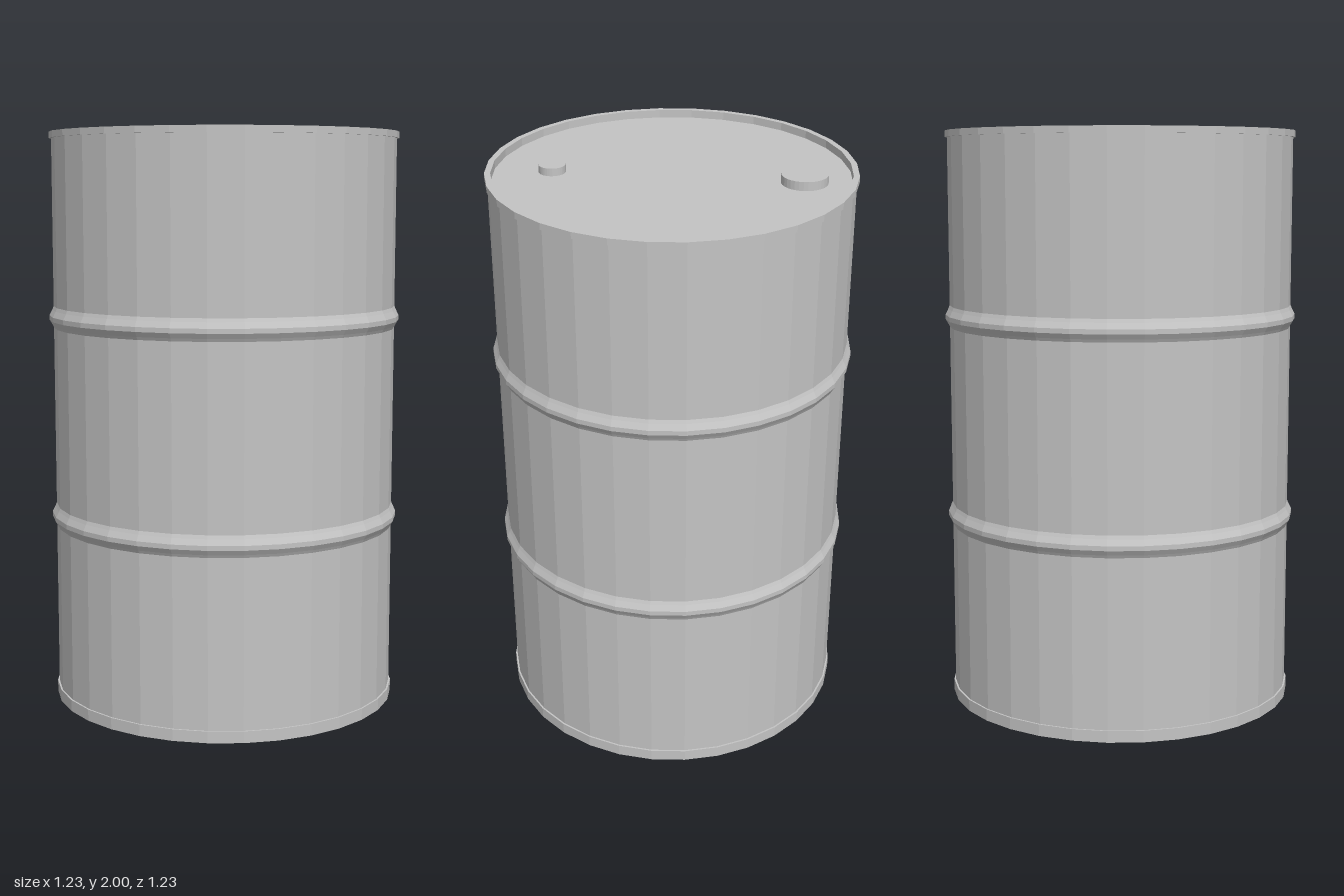
import * as THREE from 'three';

const SIDES = 32;

export function createModel() {
  const model = new THREE.Group();
  const steel = new THREE.MeshStandardMaterial({ color: 0xc4c4c4, flatShading: true });
  steel.name = 'greySteel';

  const add = (name, geometry, x = 0, y = 0, z = 0) => {
    const mesh = new THREE.Mesh(geometry, steel);
    mesh.name = name;
    mesh.position.set(x, y, z);
    model.add(mesh);
  };
  const lathe = (points) =>
    new THREE.LatheGeometry(points.map(([r, y]) => new THREE.Vector2(r, y)), SIDES);

  // Rolled hoop profile around a height
  const hoop = (y) => [
    [0.6, y - 0.035], [0.605, y - 0.025], [0.615, y - 0.008],
    [0.615, y + 0.008], [0.605, y + 0.028], [0.6, y + 0.04],
  ];

  // Side wall with two rolling hoops
  add('drumWall', lathe([[0.6, 0.04], ...hoop(0.657), ...hoop(1.357), [0.6, 1.975]]));

  // Bottom chime with its recessed base
  add('bottomChime', lathe([[0, 0.02], [0.51, 0.02], [0.51, 0], [0.606, 0], [0.606, 0.04], [0.6, 0.04]]));

  // Top rim, standing above the recessed lid
  add('topRim', lathe([[0.6, 1.975], [0.608, 1.975], [0.608, 1.997], [0.588, 1.997], [0.588, 1.97]]));
  add('lid', lathe([[0.588, 1.97], [0, 1.97]]));

  // Filler and vent plugs
  const plug = (name, radius, top, z) =>
    add(name, new THREE.CylinderGeometry(radius, radius, top - 1.97, 32), 0.005, (top + 1.97) / 2, z);
  plug('fillerPlug', 0.077, 2, -0.432);
  plug('ventPlug', 0.045, 1.996, 0.395);

  return model;
}
